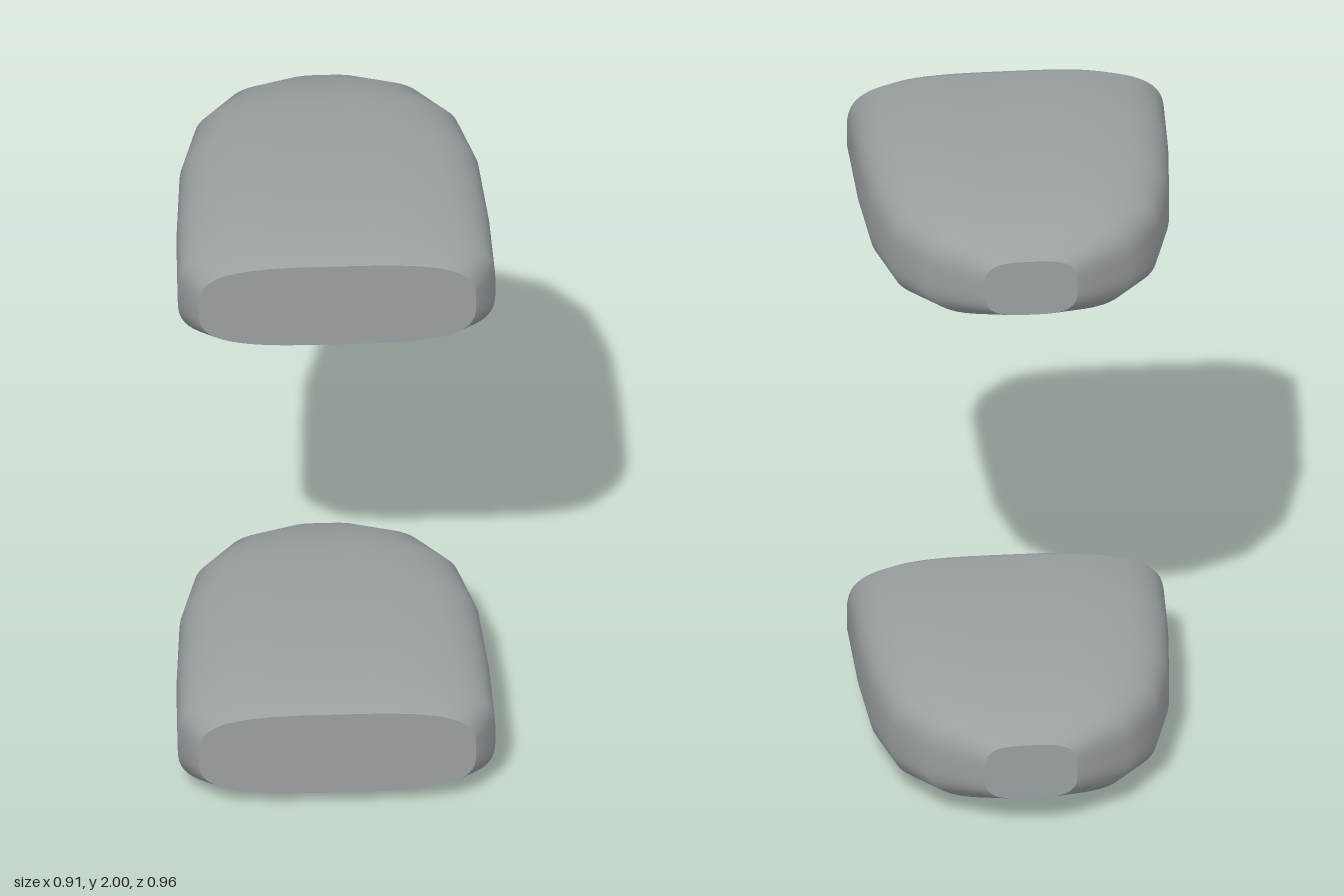
import * as THREE from 'three';

const SEGMENTS = 64;
const ROUNDNESS = 3.4; // superellipse exponent of every cross-section

// Cross-sections from front to back: z, half width, half height
const SECTIONS = [
  [0.48, 0.395, 0.14],
  [0.41, 0.453, 0.177],
  [0.17, 0.446, 0.1945],
  [-0.07, 0.428, 0.19],
  [-0.26, 0.38, 0.168],
  [-0.39, 0.285, 0.137],
  [-0.48, 0.133, 0.088],
];

// Rounded outline, counter-clockwise as seen from +z
function outline(halfWidth, halfHeight) {
  const bend = (v) => Math.sign(v) * Math.pow(Math.abs(v), 2 / ROUNDNESS);
  return Array.from({ length: SEGMENTS }, (_, j) => {
    const t = (j / SEGMENTS) * Math.PI * 2;
    return new THREE.Vector2(halfWidth * bend(Math.cos(t)), halfHeight * bend(Math.sin(t)));
  });
}

// Smooth skin lofted through the cross-sections
function shellGeometry() {
  const positions = [];
  const indices = [];
  SECTIONS.forEach(([z, w, h], i) => {
    for (const p of outline(w, h)) positions.push(p.x, p.y, z);
    if (i === SECTIONS.length - 1) return;
    for (let j = 0; j < SEGMENTS; j++) {
      const a = i * SEGMENTS + j;
      const b = i * SEGMENTS + ((j + 1) % SEGMENTS);
      const c = a + SEGMENTS;
      const d = b + SEGMENTS;
      indices.push(a, c, b, b, c, d);
    }
  });
  const geometry = new THREE.BufferGeometry();
  geometry.setAttribute('position', new THREE.Float32BufferAttribute(positions, 3));
  geometry.setIndex(indices);
  geometry.computeVertexNormals();
  return geometry;
}

// Flat end face of the skin
function capGeometry([z, w, h], isBack) {
  const geometry = new THREE.ShapeGeometry(new THREE.Shape(outline(w, h)));
  if (isBack) geometry.rotateY(Math.PI);
  return geometry.translate(0, 0, z);
}

export function createModel() {
  const model = new THREE.Group();
  const grey = new THREE.MeshStandardMaterial({ color: 0x9a9fa2 });
  grey.name = 'grey';

  const parts = {
    shell: shellGeometry(),
    frontFace: capGeometry(SECTIONS[0], false),
    backFace: capGeometry(SECTIONS[SECTIONS.length - 1], true),
  };

  // Two identical pods, one above the other
  for (const [name, y] of [['lowerPod', 0.1945], ['upperPod', 1.8055]]) {
    const pod = new THREE.Group();
    pod.name = name;
    pod.position.y = y;
    for (const [partName, geometry] of Object.entries(parts)) {
      const mesh = new THREE.Mesh(geometry, grey);
      mesh.name = partName;
      pod.add(mesh);
    }
    model.add(pod);
  }
  return model;
}
